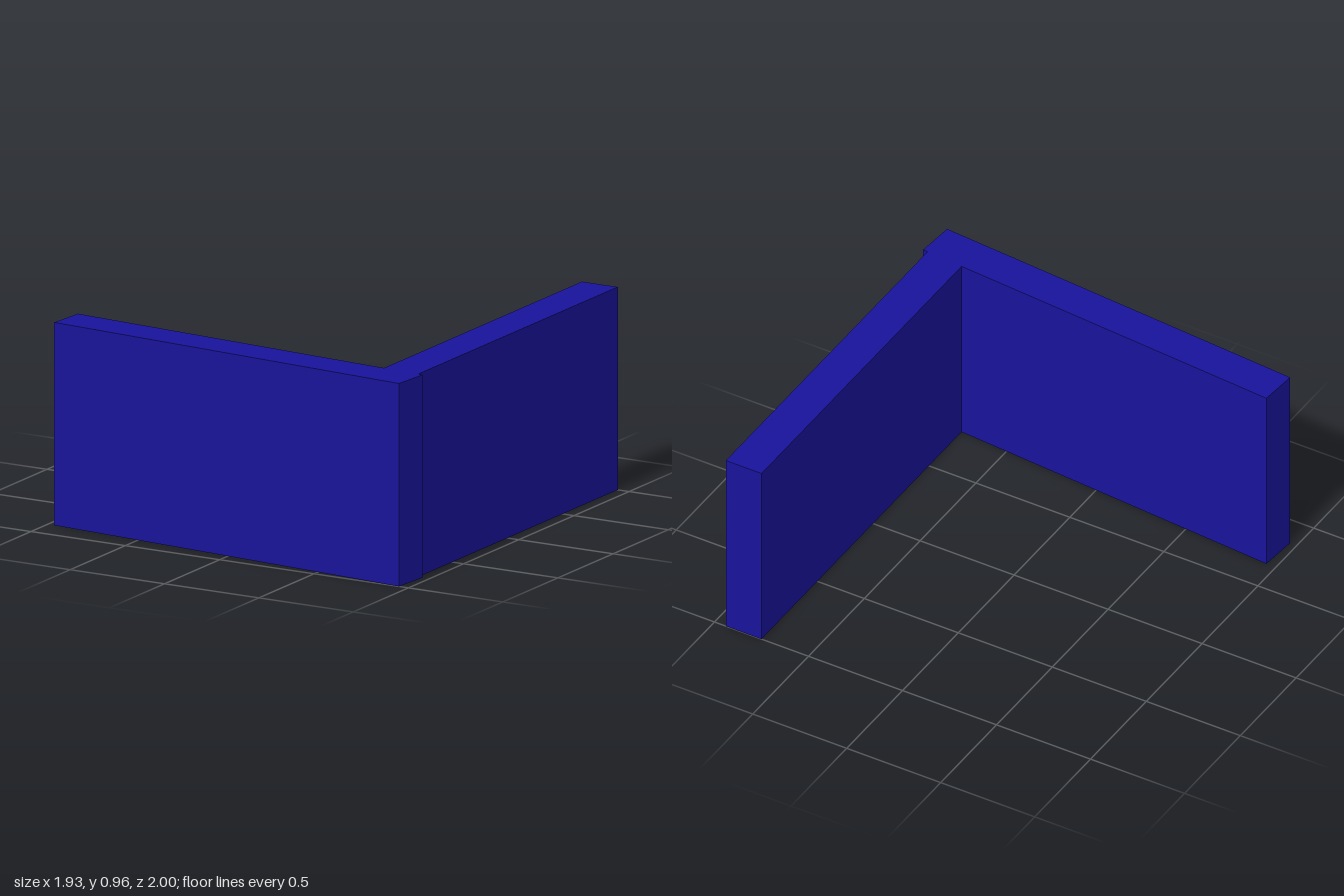
import * as THREE from 'three';

const LENGTH = 1.92, HEIGHT = 0.96, THICKNESS = 0.19;

export function createModel() {
  const group = new THREE.Group();
  group.name = 'cornerWalls';
  const material = new THREE.MeshStandardMaterial({ color: 0x18139a, flatShading: true });
  const geometry = new THREE.BoxGeometry(LENGTH, HEIGHT, THICKNESS);

  // Both walls are the same slab, standing on the ground and turned about y
  const addWall = (name, x, z, angle) => {
    const wall = new THREE.Mesh(geometry, material);
    wall.name = name;
    wall.position.set(x, HEIGHT / 2, z);
    wall.rotation.y = angle;
    group.add(wall);
  };

  // Front wall, slightly skewed, and the side wall running back from its left end
  addWall('frontWall', 0, 0.83, -0.078);
  addWall('sideWall', 0.845, -0.04, Math.PI / 2);

  return group;
}
